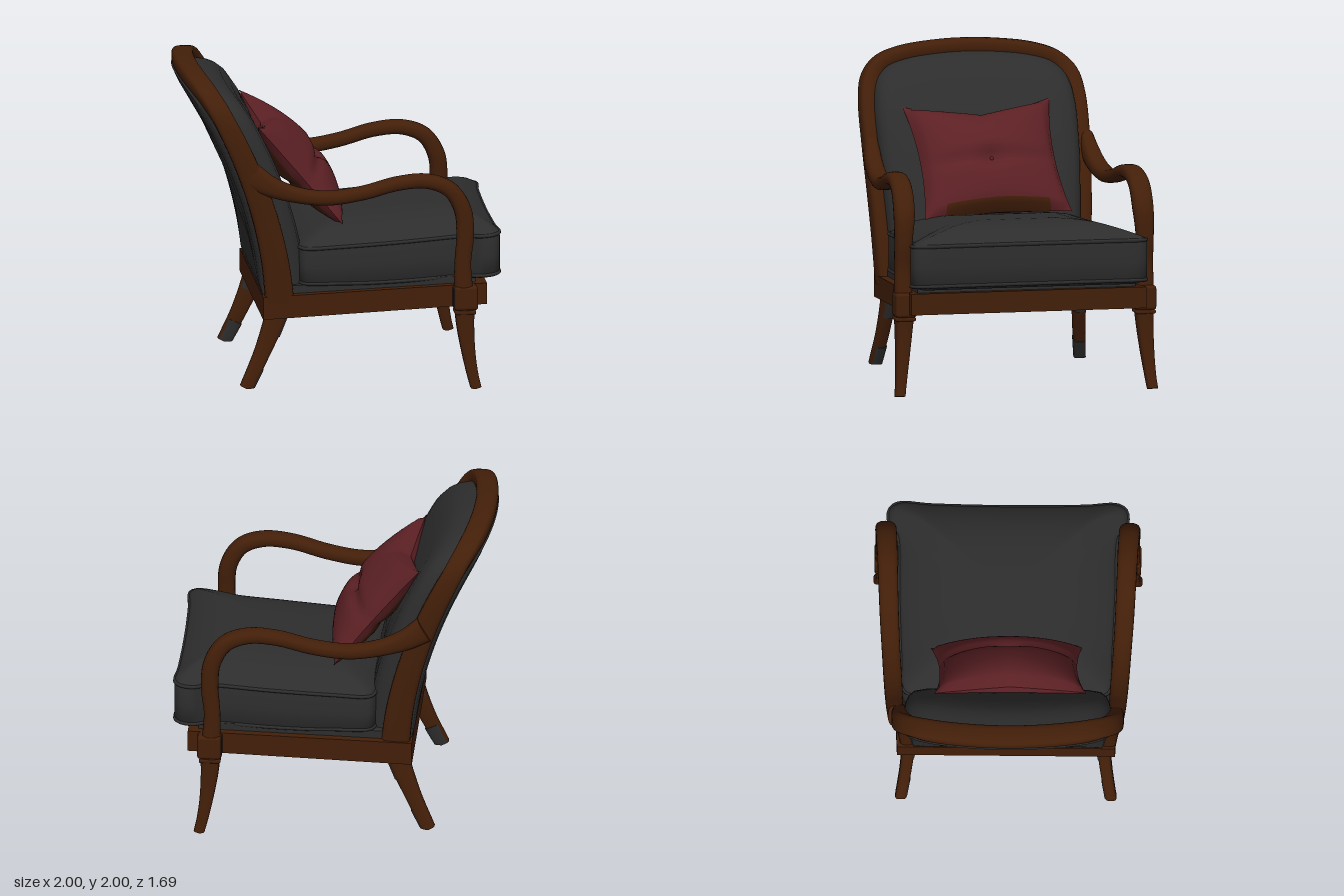
import * as THREE from 'three';
import { toCreasedNormals } from 'three/addons/utils/BufferGeometryUtils.js';
import { RoundedBoxGeometry } from 'three/addons/geometries/RoundedBoxGeometry.js';

const mat = (name, color) => new THREE.MeshStandardMaterial({ name, color });
const V = (x, y, z) => new THREE.Vector3(x, y, z);

// Skin over closed rings of equal length; winding is fixed from the signed volume.
function loft(rings, crease = 0.8) {
  const n = rings[0].length, pos = [], idx = [];
  rings.forEach(r => r.forEach(p => pos.push(p.x, p.y, p.z)));
  let volume = 0;
  const tri = (a, b, c) => {
    idx.push(a, b, c);
    const p = i => rings[Math.floor(i / n)][i % n];
    volume += p(a).dot(V(0, 0, 0).crossVectors(p(b), p(c)));
  };
  for (let r = 0; r < rings.length - 1; r++) {
    for (let i = 0; i < n; i++) {
      const a = r * n + i, b = r * n + (i + 1) % n;
      tri(a, b, b + n);
      tri(a, b + n, a + n);
    }
  }
  if (volume < 0) idx.reverse();
  const g = new THREE.BufferGeometry();
  g.setAttribute('position', new THREE.Float32BufferAttribute(pos, 3));
  g.setIndex(idx);
  return toCreasedNormals(g, crease);
}

// Sweep a rounded section along rows of [x, y, z, half size along side axis, half size across].
function sweep(rows, side, steps = 40, square = 0.55) {
  const path = new THREE.CatmullRomCurve3(rows.map(r => V(r[0], r[1], r[2])));
  const size = new THREE.CatmullRomCurve3(rows.map((r, i) => V(r[3], r[4], i)));
  const rings = [];
  for (let i = 0; i <= steps; i++) {
    const t = i / steps, c = path.getPoint(t), s = size.getPoint(t);
    const across = V(0, 0, 0).crossVectors(side, path.getTangent(t)).normalize();
    const ring = [];
    for (let k = 0; k < 20; k++) {
      const a = k / 20 * Math.PI * 2, ca = Math.cos(a), sa = Math.sin(a);
      const pw = v => Math.sign(v) * Math.abs(v) ** square;
      ring.push(c.clone().addScaledVector(side, s.x * pw(ca)).addScaledVector(across, s.y * pw(sa)));
    }
    if (i === 0) rings.push(ring.map(() => c.clone()));
    rings.push(ring);
    if (i === steps) rings.push(ring.map(() => c.clone()));
  }
  return loft(rings);
}

// Block whose height and width change between its back and front ends.
function wedge(x0, x1, back, front) {
  const g = new THREE.BoxGeometry(1, 1, 1), p = g.attributes.position;
  for (let i = 0; i < p.count; i++) {
    const e = p.getX(i) < 0 ? back : front;
    p.setXYZ(i, p.getX(i) < 0 ? x0 : x1, p.getY(i) < 0 ? e[0] : e[1], Math.sign(p.getZ(i)) * e[2]);
  }
  g.computeVertexNormals();
  return g;
}

// Lean and bow of the backrest.
const backX = (y, z) => -0.392 - 0.238 * (y - 0.56) - 0.195 * (y - 0.56) * (y - 1.4)
  - 0.052 * ((y - 0.56) / 1.41) ** 2 * (1 - Math.min(1, (z / 0.69) ** 2));

export function createModel() {
  const group = new THREE.Group();
  const wood = mat('brown wood', 0x431f09);
  const fabric = mat('charcoal fabric', 0x2d2d2d);
  const red = mat('dark red fabric', 0x5b2024);
  const add = (name, geometry, material) => {
    const m = new THREE.Mesh(geometry, material);
    m.name = name;
    group.add(m);
    return m;
  };
  const X = V(1, 0, 0), Z = V(0, 0, 1);

  // Arched back frame
  const half = [[0.54, 0.63], [0.8, 0.645], [1.1, 0.662], [1.4, 0.675], [1.66, 0.672], [1.79, 0.64],
    [1.875, 0.56], [1.92, 0.42], [1.945, 0.21]];
  const arch = [...half, [1.953, 0], ...half.map(([y, z]) => [y, -z]).reverse()].map(([y, z]) => [y, z + 0.012]);
  add('backFrame', sweep(arch.map(([y, z]) =>
    [backX(y, z), y, z, 0.092 - 0.022 * (y - 0.54) / 1.4, y > 1.8 ? 0.047 : 0.053]), X, 90), wood);

  // Upholstered back pad filling the arch
  const archCurve = new THREE.CatmullRomCurve3(arch.map(([y, z]) => V(0, y, z)));
  const archPts = archCurve.getPoints(70);
  for (let i = 1; i < 16; i++) archPts.push(V(0, 0.54, -0.618 + 1.26 * i / 16));
  const padRings = [[0, -0.115], [0.5, -0.115], [0.85, -0.112], [0.94, -0.1], [0.97, -0.07], [0.96, 0.06],
    [0.945, 0.11], [0.92, 0.145], [0.87, 0.175], [0.75, 0.192], [0.5, 0.2], [0.25, 0.2], [0, 0.2]];
  add('backPad', loft(padRings.map(([s, off]) => archPts.map(p => {
    const y = 1.25 + (p.y - 1.25) * s, z = p.z * s;
    return V(backX(y, z) + off, y, z);
  }))), fabric);

  // Seat rail and deck
  add('seatRail', wedge(-0.5, 0.905, [0.44, 0.585, 0.685], [0.525, 0.66, 0.755]), wood);
  add('seatDeck', wedge(-0.32, 0.84, [0.56, 0.645, 0.64], [0.62, 0.7, 0.7]), fabric);

  // Seat cushion with front corners wrapping the arm posts
  const side = [[-0.27, 0.3], [-0.27, 0.59], [-0.235, 0.655], [0, 0.672], [0.4, 0.688], [0.78, 0.7], [0.83, 0.73],
    [0.88, 0.762], [0.96, 0.755], [0.998, 0.7], [0.988, 0.5], [0.982, 0.25]];
  const outline = new THREE.CatmullRomCurve3([V(-0.27, 0, 0), ...side.map(([x, z]) => V(x, 0, z)),
    V(0.98, 0, 0), ...side.map(([x, z]) => V(x, 0, -z)).reverse()], true).getPoints(120).slice(0, -1);
  const bottomY = x => 0.645 + 0.055 * Math.max(0, (x - 0.1) / 0.85) ** 1.5;
  const topY = x => 0.88 + 0.09 * Math.max(0, (x + 0.27) / 1.27) ** 1.3;
  const ringAt = (s, yOf) => outline.map(p => {
    const x = 0.37 + (p.x - 0.37) * s, flare = 0.7 + 0.07 * Math.max(0, (s - 0.8) / 0.2);
    return V(x, yOf(x), THREE.MathUtils.clamp(p.z, -flare, flare) * s);
  });
  const cushion = [0, 0.6, 0.92, 0.96].map(s => ringAt(s, x => bottomY(x) - (s < 0.95 ? 0.012 : 0)));
  for (const k of [0.1, 0.5, 0.92])
    cushion.push(ringAt(0.99, x => THREE.MathUtils.lerp(bottomY(x), topY(x), k)));
  for (const s of [0.98, 0.95, 0.9, 0.84, 0.76, 0.66, 0.52, 0.35, 0.18, 0])
    cushion.push(ringAt(s, x => topY(x) + 0.138 * (1 - s ** 4)));
  add('seatCushion', loft(cushion, 1), fabric);
  for (const [name, yOf] of [['topPiping', topY], ['bottomPiping', x => bottomY(x) + 0.012]]) {
    const c = new THREE.CatmullRomCurve3(ringAt(0.985, yOf), true);
    add(name, new THREE.TubeGeometry(c, 180, 0.012, 6, true), fabric);
  }

  // Arms, posts and legs on both sides
  const arm = [[-0.58, 1.375, 0.69, 0.05, 0.085], [-0.46, 1.305, 0.702, 0.055, 0.066],
    [-0.3, 1.25, 0.712, 0.058, 0.05], [-0.1, 1.225, 0.725, 0.058, 0.045], [0.12, 1.255, 0.738, 0.06, 0.043],
    [0.35, 1.315, 0.748, 0.062, 0.043], [0.53, 1.325, 0.755, 0.064, 0.045], [0.67, 1.27, 0.762, 0.066, 0.05],
    [0.75, 1.14, 0.767, 0.066, 0.055], [0.765, 0.98, 0.775, 0.056, 0.055], [0.75, 0.8, 0.778, 0.052, 0.052],
    [0.755, 0.62, 0.775, 0.058, 0.06]];
  const frontLeg = [[0.76, 0.54, 0.77, 0.062, 0.064], [0.765, 0.4, 0.775, 0.052, 0.056],
    [0.785, 0.22, 0.788, 0.042, 0.043], [0.81, 0.08, 0.802, 0.035, 0.036], [0.83, 0, 0.812, 0.033, 0.034]];
  const backLeg = [[-0.4, 0.5, 0.61, 0.045, 0.072], [-0.43, 0.4, 0.615, 0.042, 0.065],
    [-0.51, 0.2, 0.632, 0.038, 0.05], [-0.605, 0.0, 0.66, 0.035, 0.042]];
  // Dark facings stand just proud of the inner and front faces of the back legs
  const footFacing = [[-0.536, 0.13, 0.636, 0.037, 0.047], [-0.566, 0.065, 0.645, 0.036, 0.044],
    [-0.599, 0, 0.654, 0.035, 0.042]];
  const topFacing = [[-0.404, 0.46, 0.607, 0.043, 0.069], [-0.424, 0.4, 0.609, 0.042, 0.065],
    [-0.447, 0.335, 0.614, 0.041, 0.061]];
  for (const [label, s] of [['left', 1], ['right', -1]]) {
    const flip = rows => rows.map(([x, y, z, a, b]) => [x, y, z * s, a, b]);
    add(label + 'Arm', sweep(flip(arm), Z, 80, 0.75), wood);
    for (const [part, rows, material] of [['FrontLeg', frontLeg, wood], ['BackLeg', backLeg, wood],
      ['BackFootFacing', footFacing, fabric], ['BackLegTopFacing', topFacing, fabric]]) {
      const leg = add(label + part, sweep(flip(rows), Z, 20), material);
      // Keep the foot flat on the floor
      const p = leg.geometry.attributes.position;
      for (let i = 0; i < p.count; i++) p.setY(i, Math.max(0, p.getY(i)));
    }
    const block = add(label + 'LegBlock', new RoundedBoxGeometry(0.15, 0.155, 0.135, 2, 0.02), wood);
    block.position.set(0.767, 0.578, 0.77 * s);
    const plate = add(label + 'BlockBackFacing', new THREE.BoxGeometry(0.006, 0.12, 0.095), fabric);
    plate.position.set(0.691, 0.578, 0.77 * s);
    const collar = add(label + 'LegCollar', new RoundedBoxGeometry(0.135, 0.025, 0.13, 2, 0.01), wood);
    collar.position.set(0.762, 0.488, 0.771 * s);
  }

  // Tufted throw pillow: front and back sheets meeting at a pinched seam, with a brown underside
  const sheet = (bulge, firstRow, lastRow, margin) => {
    const n = 28, g = new THREE.PlaneGeometry(2, 2, n, n), p = g.attributes.position;
    for (let i = 0; i < p.count; i++) {
      const u = p.getX(i), v = p.getY(i), dv = v + 0.17;
      const dome = Math.max(0, 1 - u * u) ** 0.5 * Math.max(0, 1 - v * v) ** 0.42;
      const crease = 1 - 0.2 * Math.exp(-((dv / 0.11) ** 2)) - 0.2 * Math.exp(-(u * u + dv * dv) / 0.03);
      const pinch = (v > 0 ? 0.29 : 0.06) * (1 - Math.abs(u)) ** 0.8;
      p.setXYZ(i, 0.475 * u * (1 - 0.09 * (1 - v * v)), 0.42 * v * (1 - pinch), bulge * dome * crease);
    }
    g.computeVertexNormals();
    for (let row = 0; row < n; row++) {
      const brown = row >= firstRow && row < lastRow ? 1 : 0;
      g.addGroup(row * n * 6, margin * 6, 0);
      g.addGroup((row * n + margin) * 6, (n - 2 * margin) * 6, brown);
      g.addGroup((row * n + n - margin) * 6, margin * 6, 0);
    }
    return g;
  };
  const pillow = new THREE.Group();
  pillow.name = 'pillow';
  const front = new THREE.Mesh(sheet(0.175, 26, 28, 4), [red, wood]);
  front.name = 'pillowFront';
  const rear = new THREE.Mesh(sheet(0.13, 5, 26, 1), [red, wood]);
  rear.name = 'pillowBack';
  rear.rotation.y = Math.PI;
  const button = new THREE.Mesh(new THREE.SphereGeometry(0.014, 12, 8), red);
  button.name = 'pillowButton';
  button.position.set(0, -0.064, 0.105);
  pillow.add(front, rear, button);
  const up = V(-0.64, 0.768, 0), out = V(0.768, 0.64, 0);
  pillow.quaternion.setFromRotationMatrix(new THREE.Matrix4().makeBasis(V(0, 0, -1), up, out));
  pillow.rotateZ(0.035);
  pillow.position.set(-0.255, 1.328, 0.013);
  group.add(pillow);

  return group;
}
